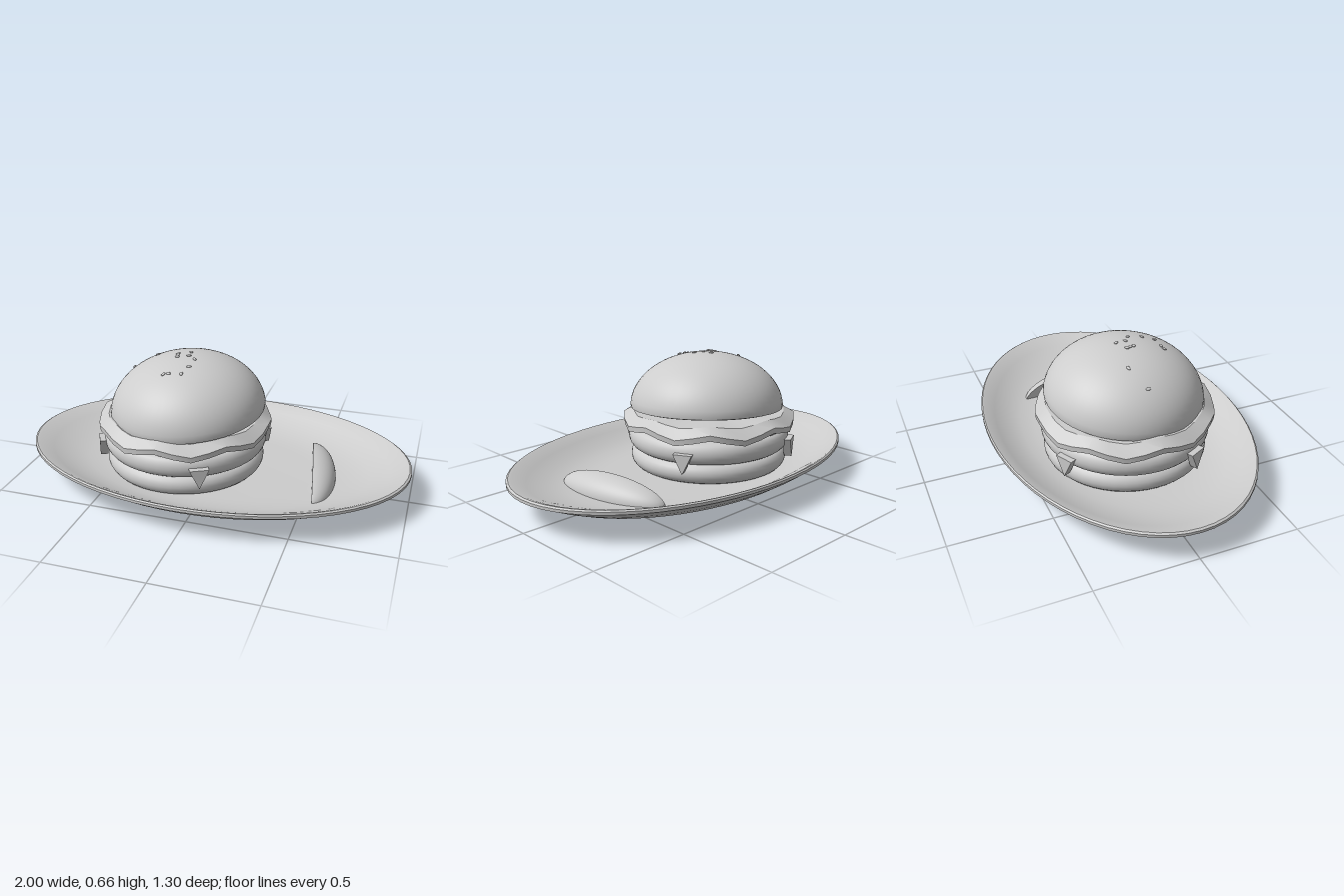
import * as THREE from 'three';
import { toCreasedNormals } from 'three/addons/utils/BufferGeometryUtils.js';

const clay = new THREE.MeshStandardMaterial({ color: 0xcccccc });
clay.name = 'light grey';

function add(parent, name, geometry, x = 0, y = 0, z = 0) {
  const mesh = new THREE.Mesh(geometry, clay);
  mesh.name = name;
  mesh.position.set(x, y, z);
  parent.add(mesh);
  return mesh;
}

// Profile runs from the bottom axis outward and up to the top axis
function lathe(profile, segments = 48) {
  return new THREE.LatheGeometry(profile.map(([r, y]) => new THREE.Vector2(r, y)), segments);
}

// Round slab with softly bulging sides
function slab(radius, y0, y1, round) {
  const p = [[0, y0]];
  const h = (y1 - y0) / 2;
  for (let i = 0; i <= 10; i++) {
    const a = -Math.PI / 2 + (Math.PI * i) / 10;
    p.push([radius - round + round * Math.cos(a), y0 + h + h * Math.sin(a)]);
  }
  p.push([0, y1]);
  return toCreasedNormals(lathe(p), 0.6);
}

export function createModel() {
  const model = new THREE.Group();
  model.name = 'burgerOnPlate';

  // Oval plate with a foot ring
  const plate = lathe([
    [0, 0.03], [0.41, 0.03], [0.43, 0], [0.505, 0], [0.52, 0.03], [0.54, 0.037], [0.7, 0.04],
    [0.76, 0.05], [0.82, 0.065], [0.91, 0.103], [0.98, 0.138], [1, 0.146], [1, 0.16], [0.99, 0.166],
    [0.975, 0.163], [0.9, 0.13], [0.8, 0.094], [0.7, 0.072], [0.6, 0.063], [0.52, 0.06], [0, 0.06],
  ], 64);
  plate.scale(1, 1, 0.65);
  add(model, 'plate', toCreasedNormals(plate, 0.4));

  const burger = new THREE.Group();
  burger.name = 'burger';
  burger.position.set(-0.17, 0, 0);
  model.add(burger);

  // Lower layers
  add(burger, 'bottomBun', slab(0.41, 0.06, 0.165, 0.05));
  add(burger, 'patty', slab(0.422, 0.165, 0.272, 0.04));

  // Cheese corners folded down over the patty
  const flap = new THREE.Shape();
  flap.moveTo(-0.048, 0);
  flap.lineTo(0, -0.1);
  flap.lineTo(0.048, 0);
  flap.closePath();
  const flapGeometry = new THREE.ExtrudeGeometry(flap, { depth: 0.04, bevelEnabled: false });
  for (let i = 0; i < 4; i++) {
    const a = 0.48 + (i * Math.PI) / 2;
    const corner = add(burger, 'cheeseCorner', flapGeometry, 0.41 * Math.sin(a + Math.PI / 2), 0.228, 0.41 * Math.cos(a + Math.PI / 2));
    corner.rotation.y = a + Math.PI / 2;
  }

  // Thin slices resting on the patty
  const slice = new THREE.CylinderGeometry(0.2, 0.2, 0.014, 32);
  for (let i = 0; i < 4; i++) {
    const a = 0.2 + (i * Math.PI) / 2;
    add(burger, 'onionSlice', slice, 0.2 * Math.sin(a), 0.277 + 0.002 * i, 0.2 * Math.cos(a));
  }
  const topSlice = new THREE.CylinderGeometry(0.22, 0.22, 0.02, 32);
  add(burger, 'tomatoSlice', topSlice, -0.06, 0.297, -0.03);
  add(burger, 'tomatoSlice', topSlice, 0.03, 0.32, 0.05);

  // Lettuce skirt with a zigzag edge
  const lettuce = lathe([
    [0.02, 0.33], [0.36, 0.335], [0.445, 0.287], [0.447, 0.315], [0.395, 0.353], [0.02, 0.35],
  ], 32);
  const lp = lettuce.attributes.position;
  for (let i = 0; i < lp.count; i++) {
    const x = lp.getX(i), z = lp.getZ(i);
    const turns = (Math.atan2(x, z) / (Math.PI * 2) + 1) * 8;
    const wave = Math.abs((turns % 1) - 0.5) * 4 - 1;
    const weight = Math.max(0, (Math.hypot(x, z) - 0.35) / 0.1);
    lp.setY(i, lp.getY(i) + wave * weight * 0.018);
  }
  add(burger, 'lettuce', toCreasedNormals(lettuce, 0.4));

  // Tilted top bun with sesame seeds
  const topBun = new THREE.Group();
  topBun.name = 'topBun';
  topBun.position.set(0.017, 0.365, 0);
  topBun.rotation.set(0.06, 0, 0.06);
  burger.add(topBun);
  const R = 0.4, H = 0.286;
  const dome = [[0, -0.005], [0.38, -0.005], [0.396, 0]];
  for (let i = 0; i <= 20; i++) {
    const a = (Math.PI / 2) * (0.04 + 0.96 * (i / 20));
    dome.push([Math.max(0, R * Math.cos(a)), H * Math.sin(a)]);
  }
  add(topBun, 'bunDome', toCreasedNormals(lathe(dome), 0.7));

  const seed = new THREE.SphereGeometry(1, 10, 8);
  seed.scale(0.008, 0.005, 0.013);
  const seeds = [
    [-0.45, 0], [-0.335, -0.055], [-0.145, -0.04], [-0.205, -0.01], [-0.195, 0.03], [-0.2, 0.01],
    [-0.14, 0.01], [-0.1, 0.04], [-0.215, 0.185], [-0.19, 0.18], [-0.125, 0.175], [-0.105, 0.115],
  ];
  const up = new THREE.Vector3(0, 1, 0);
  seeds.forEach(([sx, sz], i) => {
    const x = sx + 0.153 + 0.015, z = sz - 0.015;
    const y = H * Math.sqrt(1 - (x * x + z * z) / (R * R));
    const normal = new THREE.Vector3(x / (R * R), y / (H * H), z / (R * R)).normalize();
    const mesh = add(topBun, 'sesameSeed', seed, x, y + 0.003, z);
    mesh.quaternion.setFromUnitVectors(up, normal);
    mesh.rotateY(i * 1.9);
  });

  // Pickle wedge: a quarter ellipsoid with an upright cut face
  const pickle = new THREE.Group();
  pickle.name = 'pickleWedge';
  pickle.position.set(0.505, 0.061, -0.025);
  pickle.rotation.y = 0.18;
  pickle.scale.set(0.12, 0.098, 0.31);
  model.add(pickle);
  add(pickle, 'pickleSkin', new THREE.SphereGeometry(1, 24, 16, Math.PI / 2, Math.PI, 0, Math.PI / 2));
  add(pickle, 'pickleCutFace', new THREE.CircleGeometry(1, 32, 0, Math.PI).rotateY(-Math.PI / 2));

  return model;
}
